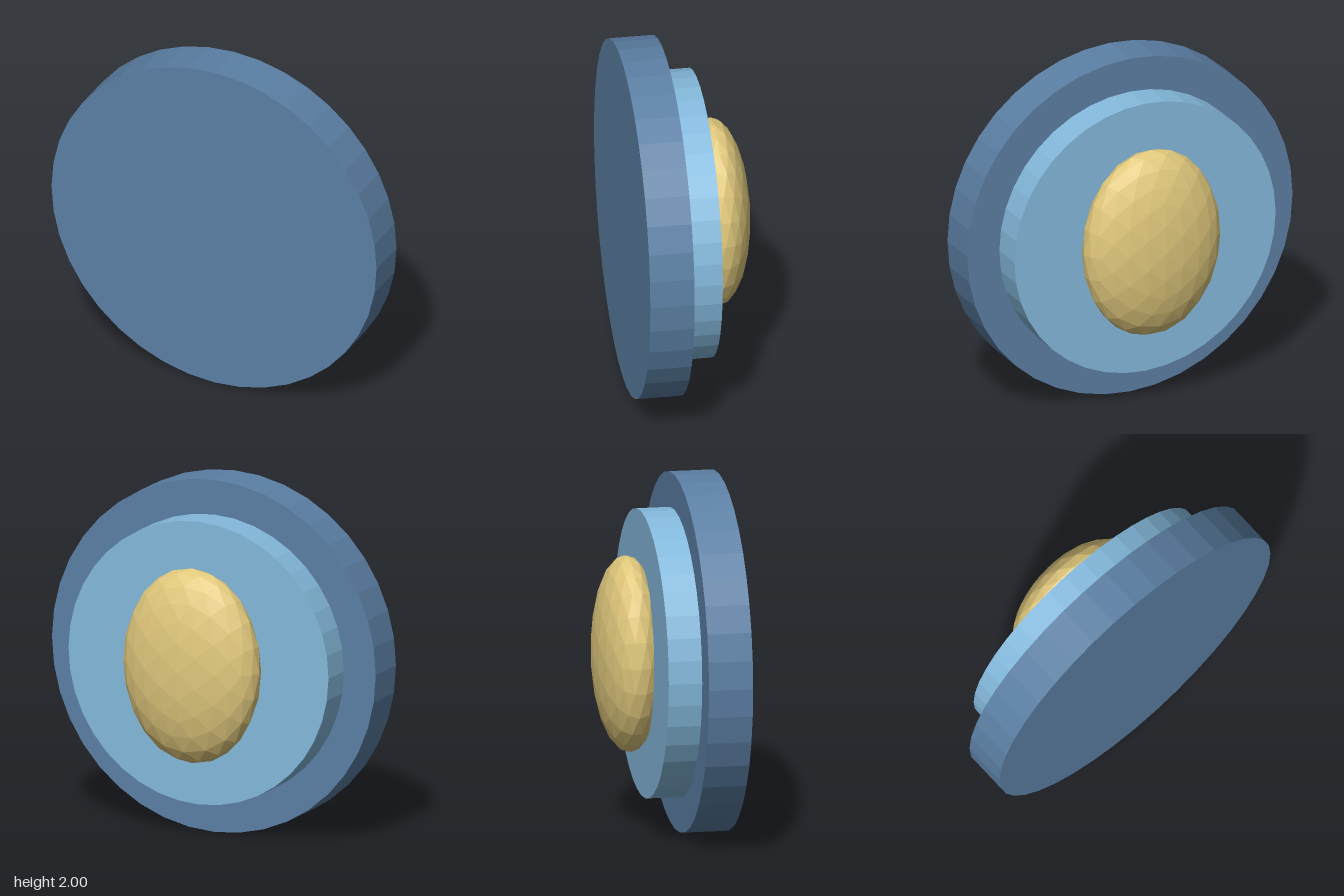
import * as THREE from 'three';

const makeMaterial = (name, color) => {
  const m = new THREE.MeshStandardMaterial({ color, flatShading: true });
  m.name = name;
  return m;
};

export function createModel() {
  const group = new THREE.Group();
  group.name = 'steppedDisc';
  const steelBlue = makeMaterial('steelBlue', 0x5b7fa4);
  const skyBlue = makeMaterial('skyBlue', 0x84b9dc);
  const gold = makeMaterial('gold', 0xe0c87c);

  // A 40-sided disc with its axis along z
  const addDisc = (name, radius, zBack, zFront, material) => {
    const geometry = new THREE.CylinderGeometry(radius, radius, zFront - zBack, 40);
    geometry.rotateX(Math.PI / 2);
    const mesh = new THREE.Mesh(geometry, material);
    mesh.name = name;
    mesh.position.set(0, 1, (zBack + zFront) / 2);
    group.add(mesh);
  };
  addDisc('baseDisc', 1, 0.105, 0.353, steelBlue);
  addDisc('raisedDisc', 0.803, -0.083, 0.105, skyBlue);

  // Faceted oval dome, partly sunk into the raised disc
  const domeGeometry = new THREE.IcosahedronGeometry(1, 3);
  domeGeometry.scale(0.415, 0.553, 0.193);
  const dome = new THREE.Mesh(domeGeometry, gold);
  dome.name = 'ovalDome';
  dome.position.set(0, 1.002, -0.16);
  group.add(dome);

  return group;
}
